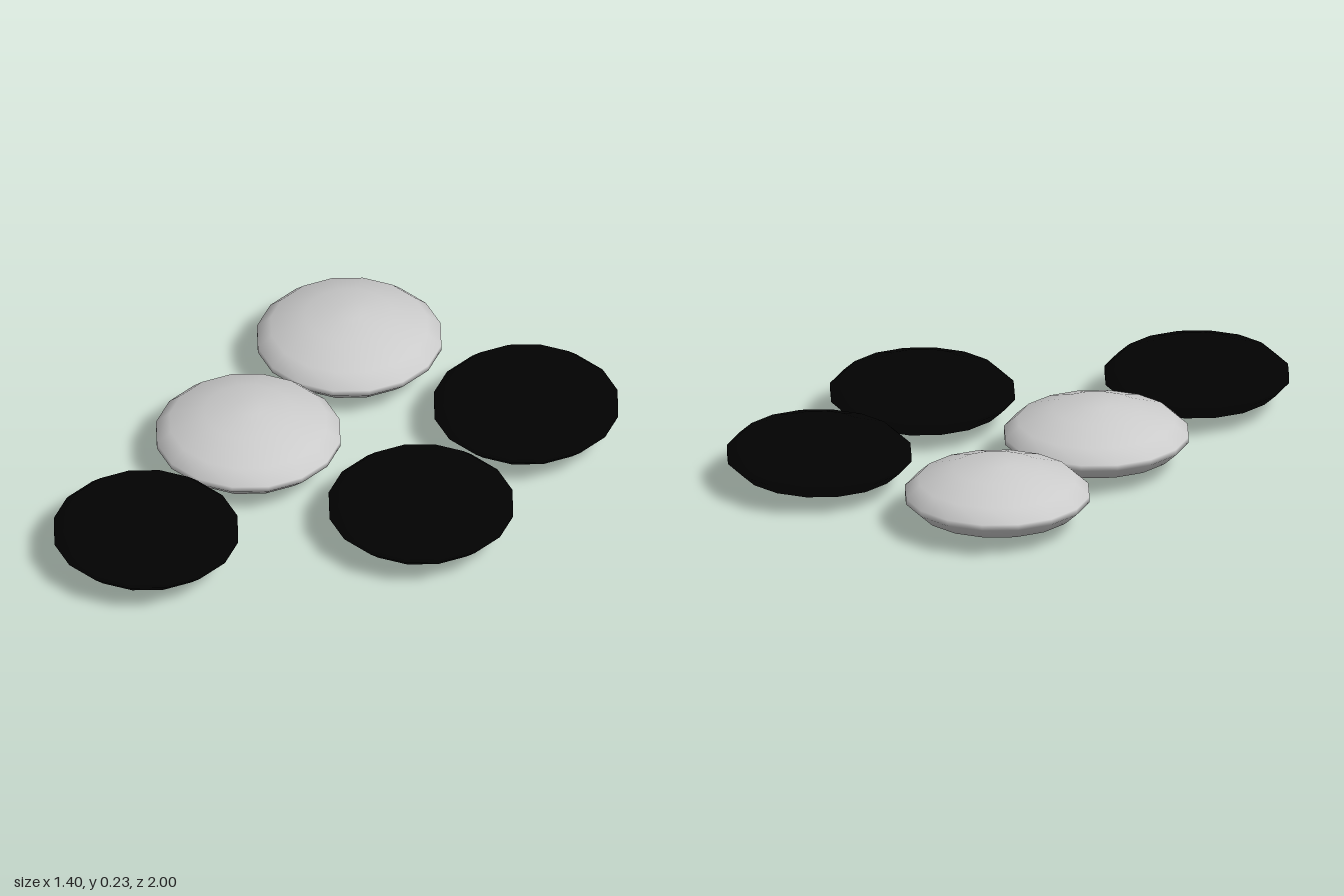
import * as THREE from 'three';

const RADIUS = 0.33, HALF = 0.1165;

// Lens-shaped stone: 16 sides, a small flat cap above and below, and a thin rim
function stoneGeometry() {
  const upper = [[1, 0.09], [0.85, 0.48], [0.48, 0.85], [0.14, 1], [0, 1]];
  const lower = upper.map(([r, y]) => [r, -y]).reverse();
  const profile = [...lower, ...upper].map(([r, y]) => new THREE.Vector2(r * RADIUS, y * HALF));
  return new THREE.LatheGeometry(profile, 16);
}

export function createModel() {
  const group = new THREE.Group();
  const geometry = stoneGeometry();
  const black = new THREE.MeshStandardMaterial({ color: 0x020202 });
  const grey = new THREE.MeshStandardMaterial({ color: 0xcccccc });

  // Two columns of stones: name, material, x, z
  const stones = [
    ['greyStoneBack', grey, -0.367, -0.663],
    ['greyStoneMiddle', grey, -0.367, 0],
    ['blackStoneFront', black, -0.37, 0.667],
    ['blackStoneBack', black, 0.367, -0.67],
    ['blackStoneMiddle', black, 0.367, 0.02],
  ];
  for (const [name, material, x, z] of stones) {
    const stone = new THREE.Mesh(geometry, material);
    stone.name = name;
    stone.position.set(x, HALF, z);
    group.add(stone);
  }
  return group;
}
